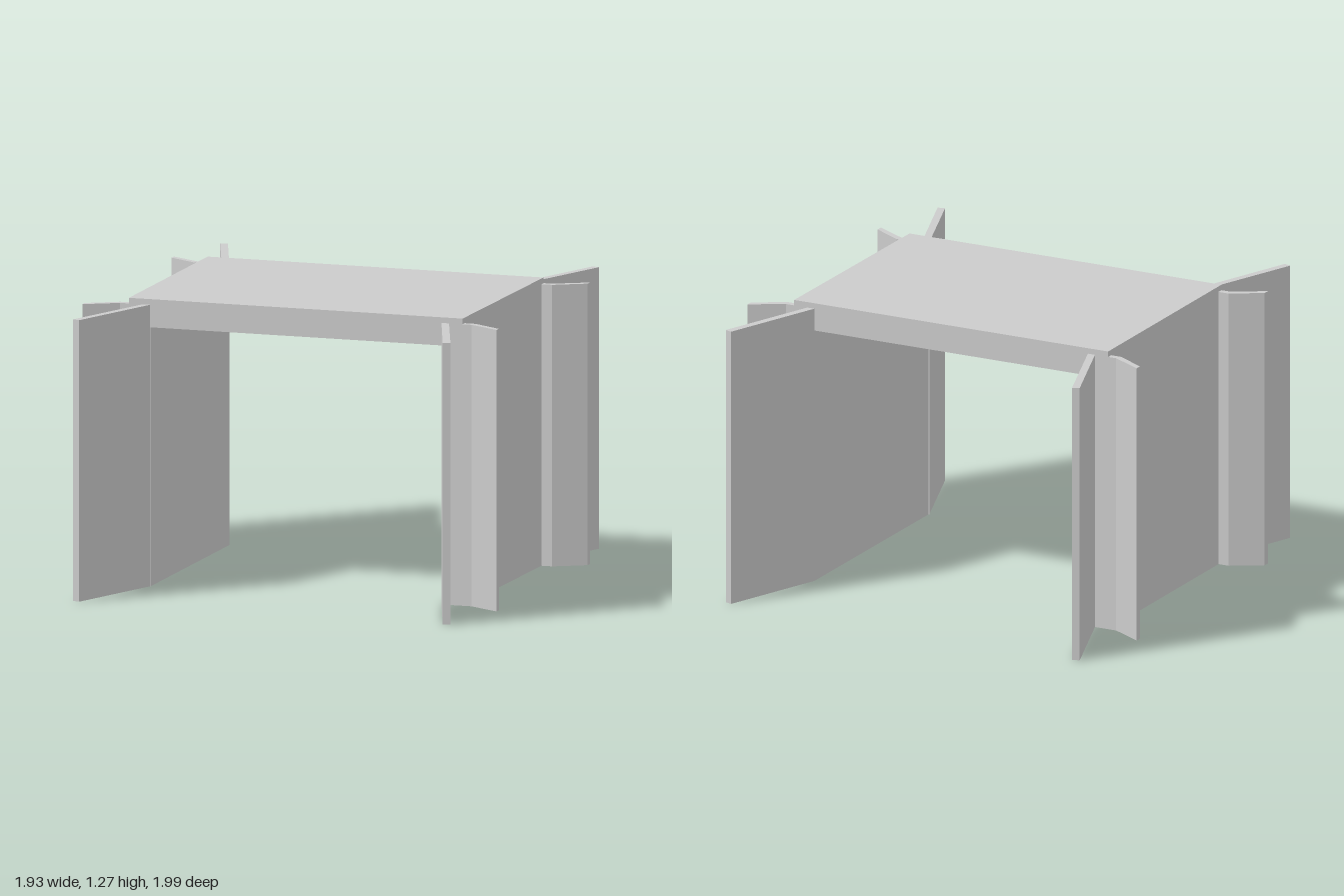
import * as THREE from 'three';

const material = new THREE.MeshStandardMaterial({ color: 0xcccccc, flatShading: true });

// Upright prism from a plan outline of [x, z] corners
function prism(name, plan, bottom, top) {
  const shape = new THREE.Shape(plan.map(([x, z]) => new THREE.Vector2(x, -z)));
  const geometry = new THREE.ExtrudeGeometry(shape, { depth: top - bottom, bevelEnabled: false });
  geometry.rotateX(-Math.PI / 2).translate(0, bottom, 0);
  const mesh = new THREE.Mesh(geometry, material);
  mesh.name = name;
  return mesh;
}

export function createModel() {
  const model = new THREE.Group();
  model.name = 'boxCulvert';
  const slabBottom = 1.15, slabTop = 1.275, wingTop = 1.25;

  // Deck slab, with a slightly skewed right edge
  model.add(prism('deckSlab',
    [[-0.77, 0.53], [0.775, 0.53], [0.775, -0.54], [-0.78, -0.54]], slabBottom, slabTop));

  // Side walls under the slab
  model.add(prism('leftWall',
    [[0.68, 0.53], [0.775, 0.53], [0.775, -0.54], [0.675, -0.54]], 0, slabBottom));
  model.add(prism('rightWall',
    [[-0.67, 0.53], [-0.77, 0.53], [-0.78, -0.54], [-0.68, -0.54]], 0, slabBottom));

  // Corner walls: plan offsets measured from the inner and outer wall corners
  const corners = [
    { name: 'frontLeft', sx: 1, sz: 1, inner: 0.677, outer: 0.775, z: 0.53 },
    { name: 'backLeft', sx: 1, sz: -1, inner: 0.675, outer: 0.775, z: 0.54 },
    { name: 'frontRight', sx: -1, sz: 1, inner: 0.672, outer: 0.77, z: 0.53 },
    { name: 'backRight', sx: -1, sz: -1, inner: 0.68, outer: 0.78, z: 0.54 },
  ];
  const wingPlan = [[0, 0], [0.035, 0], [0.199, 0.449], [0.167, 0.46]];
  const flankPlan = [[0, 0], [0.04, 0], [0.186, 0.083], [0.186, 0.053], [0.05, -0.028], [0, -0.028]];
  for (const { name, sx, sz, inner, outer, z } of corners) {
    const place = (plan, x) => plan.map(([dx, dz]) => [sx * (x + dx), sz * (z + dz)]);
    // Long splayed wing wall
    model.add(prism(name + 'WingWall', place(wingPlan, inner), 0, wingTop));
    // Short bent flank wall
    model.add(prism(name + 'FlankWall', place(flankPlan, outer), 0, wingTop));
  }
  return model;
}
